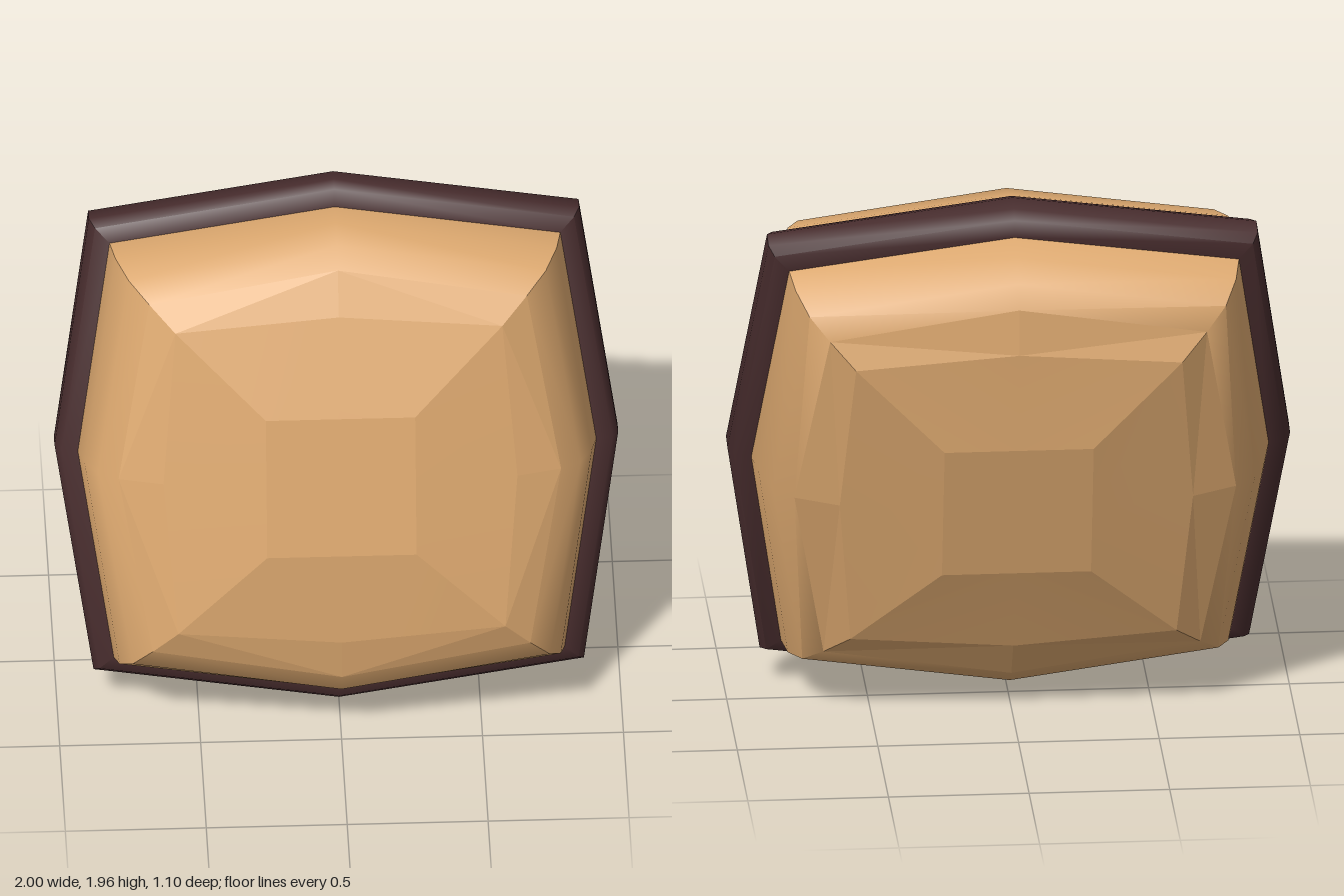
import * as THREE from 'three';
import { toCreasedNormals } from 'three/addons/utils/BufferGeometryUtils.js';

// Eight-point ring: r = distance to the edge middles, c = corner offset, z = depth
function ring([r, c, z]) {
  return [[r, 0], [c, c], [0, r], [-c, c], [-r, 0], [-c, -c], [0, -r], [c, -c]]
    .map(([x, y]) => new THREE.Vector3(x, y, z));
}

// Skin a list of rings running from front to back
function loft(profile, crease) {
  const rings = profile.map(ring);
  const pos = [];
  const tri = (a, b, c) => {
    if (a.distanceTo(b) * b.distanceTo(c) * c.distanceTo(a) > 0) {
      for (const p of [a, b, c]) pos.push(p.x, p.y, p.z);
    }
  };
  for (let i = 0; i < rings.length - 1; i++) {
    for (let j = 0; j < 8; j++) {
      const k = (j + 1) % 8;
      const [a, b, c, d] = [rings[i][j], rings[i + 1][j], rings[i + 1][k], rings[i][k]];
      if (j % 2) { tri(a, b, c); tri(a, c, d); } else { tri(a, b, d); tri(b, c, d); }
    }
  }
  const geo = new THREE.BufferGeometry();
  geo.setAttribute('position', new THREE.Float32BufferAttribute(pos, 3));
  return toCreasedNormals(geo, crease);
}

// The same profile on the back side
const mirrored = (profile) => profile.map(([r, c, z]) => [r, c, -z]).reverse();

export function createModel() {
  const model = new THREE.Group();
  model.name = 'cushion';
  const fabric = new THREE.MeshStandardMaterial({ color: 0xdca86f });
  const trim = new THREE.MeshStandardMaterial({ color: 0x472c2d });

  const add = (name, geometry, material) => {
    const mesh = new THREE.Mesh(geometry, material);
    mesh.name = name;
    model.add(mesh);
  };

  // Softly rounded sides of the padding
  const side = [[0.785, 0.67, 0.356], [0.857, 0.74, 0.298], [0.9, 0.783, 0.195], [0.92, 0.8, 0.095]];
  add('cushionSides', loft([...side, ...mirrored(side)], 0.7), fabric);

  // Faceted, slightly domed panels
  const panel = [[0, 0, 0.482], [0.265, 0.265, 0.482], [0.628, 0.58, 0.412], side[0]];
  add('frontPanel', loft(panel, 0.05), fabric);
  add('backPanel', loft(mirrored(panel), 0.05), fabric);

  // Rounded band around the edge, closed by a hidden inner wall
  const edge = [[0.88, 0.765, 0.097], [0.92, 0.8, 0.097], [0.978, 0.85, 0.077], [1, 0.87, 0.035]];
  add('edgeBand', loft([...edge, ...mirrored(edge), edge[0]], 0.8), trim);

  // Lean the cushion backwards
  model.rotation.x = -0.243;
  model.position.y = 0.98;
  const root = new THREE.Group();
  root.add(model);
  return root;
}
